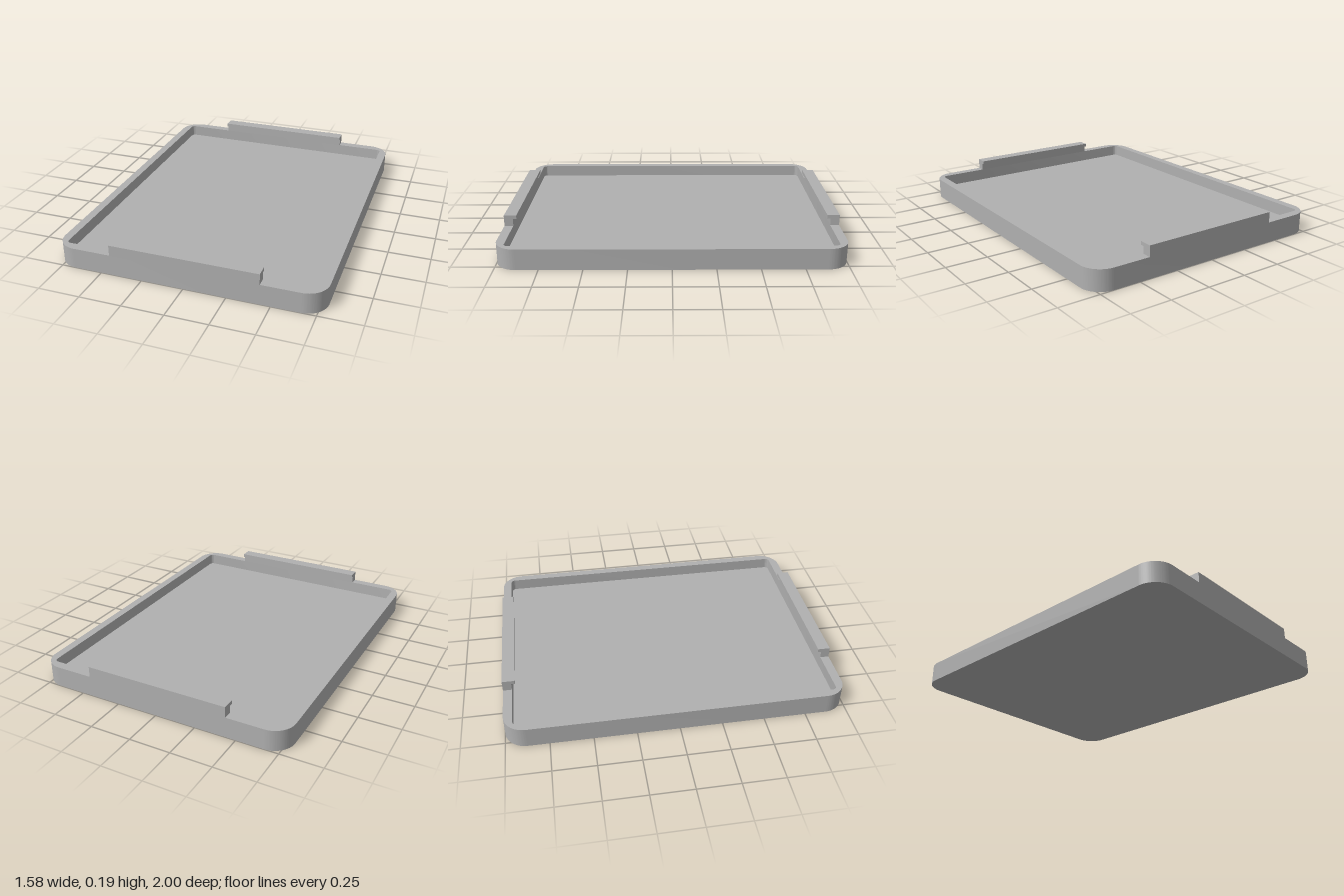
import * as THREE from 'three';
import { toCreasedNormals } from 'three/addons/utils/BufferGeometryUtils.js';

const WALL_TOP = 0.125, FLOOR_TOP = 0.053;

// Rounded rectangle outline given by half sizes and corner radius
function roundedRect(hx, hz, r, path = new THREE.Shape()) {
  path.absarc(hx - r, hz - r, r, 0, Math.PI / 2);
  path.absarc(-hx + r, hz - r, r, Math.PI / 2, Math.PI);
  path.absarc(-hx + r, -hz + r, r, Math.PI, Math.PI * 1.5);
  path.absarc(hx - r, -hz + r, r, Math.PI * 1.5, Math.PI * 2);
  path.closePath();
  return path;
}

// Extrude a plan outline upwards from y = 0
function slab(shape, height) {
  const geo = new THREE.ExtrudeGeometry(shape, { depth: height, bevelEnabled: false, curveSegments: 16 });
  geo.rotateX(-Math.PI / 2);
  return toCreasedNormals(geo, Math.PI / 6);
}

export function createModel() {
  const group = new THREE.Group();
  const grey = new THREE.MeshStandardMaterial({ color: 0xb0b0b0 });
  grey.name = 'grey';

  const add = (name, geo) => {
    const mesh = new THREE.Mesh(geo, grey);
    mesh.name = name;
    group.add(mesh);
    return mesh;
  };

  // Surrounding wall with an open middle
  const ring = roundedRect(0.79, 1, 0.125);
  ring.holes.push(roundedRect(0.74, 0.947, 0.025, new THREE.Path()));
  add('trayWall', slab(ring, WALL_TOP));

  // Tray floor
  add('trayFloor', slab(roundedRect(0.74, 0.947, 0.025), FLOOR_TOP));

  // Hooked clips on the two short sides: an upright with an inward lip
  const hook = new THREE.Shape([
    [1, WALL_TOP], [1, 0.19], [0.926, 0.19], [0.926, 0.168], [0.947, 0.168], [0.947, WALL_TOP],
  ].map(([z, y]) => new THREE.Vector2(z, y)));
  const clip = new THREE.ExtrudeGeometry(hook, { depth: 0.88, bevelEnabled: false });
  clip.translate(0, 0, -0.44);
  clip.rotateY(-Math.PI / 2);
  add('frontClip', clip);
  add('backClip', clip).rotation.y = Math.PI;

  return group;
}
